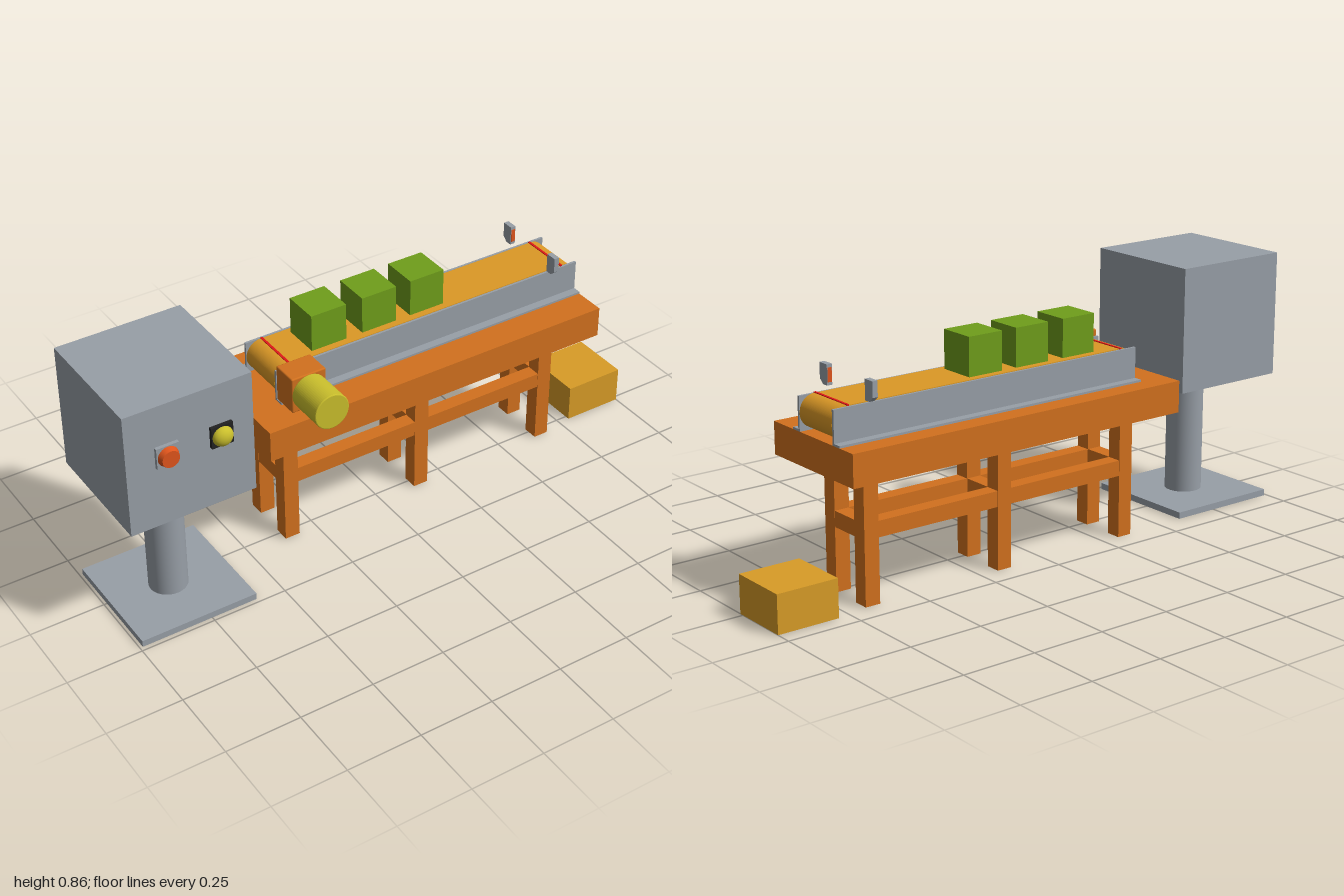
import * as THREE from 'three';
import { RoundedBoxGeometry } from 'three/addons/geometries/RoundedBoxGeometry.js';

const mat = (color) => new THREE.MeshStandardMaterial({ color });
const STEEL = mat(0x989fa7), ORANGE = mat(0xd2711e), BELT = mat(0xdc9926), GREEN = mat(0x6f9e1b),
  YELLOW = mat(0xcabf2c), GOLD = mat(0xd89c27), RED = mat(0xe01818), BLACK = mat(0x222222), BUTTON = mat(0xe0551c);

export function createModel() {
  const model = new THREE.Group();
  const group = (name) => {
    const g = new THREE.Group();
    g.name = name;
    model.add(g);
    return g;
  };
  const add = (parent, name, geometry, material, x = 0, y = 0, z = 0) => {
    const mesh = new THREE.Mesh(geometry, material);
    mesh.name = name;
    mesh.position.set(x, y, z);
    parent.add(mesh);
    return mesh;
  };
  // Box given by its extents on each axis
  const box = (parent, name, material, [x0, x1], [y0, y1], [z0, z1]) =>
    add(parent, name, new THREE.BoxGeometry(x1 - x0, y1 - y0, z1 - z0), material,
      (x0 + x1) / 2, (y0 + y1) / 2, (z0 + z1) / 2);

  // Control cabinet on a round post
  const cabinet = group('controlCabinet');
  box(cabinet, 'cabinetBox', STEEL, [-1, -0.583], [0.439, 0.857], [-0.175, 0.245]);
  add(cabinet, 'post', new THREE.CylinderGeometry(0.0625, 0.0625, 0.418, 48), STEEL, -0.793, 0.231, 0.036);
  box(cabinet, 'footPlate', STEEL, [-0.99, -0.593], [0, 0.022], [-0.165, 0.235]);

  // Push button and indicator lamp, each on a square plate
  box(cabinet, 'startPlate', STEEL, [-0.907, -0.833], [0.648, 0.72], [0.245, 0.257]);
  add(cabinet, 'startButton', new THREE.CylinderGeometry(0.028, 0.034, 0.018, 32), BUTTON, -0.87, 0.683, 0.266)
    .rotation.x = Math.PI / 2;
  box(cabinet, 'lampPlate', BLACK, [-0.729, -0.657], [0.648, 0.72], [0.245, 0.257]);
  const dome = add(cabinet, 'indicatorLamp',
    new THREE.SphereGeometry(0.033, 32, 12, 0, Math.PI * 2, 0, Math.PI / 2), YELLOW, -0.693, 0.683, 0.257);
  dome.rotation.x = Math.PI / 2;
  dome.scale.y = 0.75;

  // Work table with six legs, long rails and cross rails
  const table = group('table');
  box(table, 'tableTop', ORANGE, [-0.47, 0.786], [0.421, 0.526], [-0.28, 0.14]);
  const legX = [-0.34, 0.157, 0.655], legZ = [0.009, -0.148];
  for (const x of legX) {
    for (const z of legZ) box(table, 'leg', ORANGE, [x - 0.026, x + 0.026], [0, 0.421], [z - 0.026, z + 0.026]);
    box(table, 'crossRail', ORANGE, [x - 0.025, x + 0.025], [0.21, 0.262], [-0.122, -0.017]);
  }
  for (const z of legZ) {
    for (let i = 0; i < 2; i++) {
      box(table, 'longRail', ORANGE, [legX[i] + 0.026, legX[i + 1] - 0.026], [0.21, 0.262], [z - 0.025, z + 0.025]);
    }
  }

  // Belt loop with rounded ends
  const conveyor = group('conveyor');
  const r = 0.0525;
  const loop = new THREE.Shape();
  loop.absarc(0.733, 0, r, -Math.PI / 2, Math.PI / 2, false);
  loop.absarc(-0.313, 0, r, Math.PI / 2, Math.PI * 1.5, false);
  loop.closePath();
  const beltGeometry = new THREE.ExtrudeGeometry(loop, { depth: 0.17, bevelEnabled: false, curveSegments: 24 });
  add(conveyor, 'belt', beltGeometry, BELT, 0, 0.584, -0.174);
  box(conveyor, 'underStrip', STEEL, [-0.3, 0.72], [0.526, 0.533], [-0.113, -0.07]);
  for (const x of [-0.309, 0.729]) {
    box(conveyor, 'lightBeam', RED, [x - 0.004, x + 0.004], [0.634, 0.639], [-0.176, 0]);
  }

  // L-section side guides, mirrored about the belt centre
  const centreZ = -0.09;
  const guide = new THREE.Shape([[0.087, 0], [0.123, 0], [0.123, 0.007], [0.095, 0.007], [0.095, 0.109], [0.087, 0.109]]
    .map(([z, y]) => new THREE.Vector2(-z, y)));
  const guideGeometry = new THREE.ExtrudeGeometry(guide, { depth: 1.151, bevelEnabled: false });
  guideGeometry.rotateY(Math.PI / 2);
  add(conveyor, 'frontGuide', guideGeometry, STEEL, -0.365, 0.526, centreZ);
  add(conveyor, 'backGuide', guideGeometry, STEEL, 0.786, 0.526, centreZ).rotation.y = Math.PI;

  // Facing pair of sensors with a chamfered lower corner
  const sensorShape = new THREE.Shape([[0.1, 0.645], [0.122, 0.645], [0.139, 0.66], [0.139, 0.71], [0.1, 0.71]]
    .map(([z, y]) => new THREE.Vector2(-z, y)));
  const sensorGeometry = new THREE.ExtrudeGeometry(sensorShape, { depth: 0.018, bevelEnabled: false });
  sensorGeometry.rotateY(Math.PI / 2);
  sensorGeometry.translate(-0.009, 0, 0);
  for (const turn of [0, Math.PI]) {
    const sensor = group(turn ? 'backSensor' : 'frontSensor');
    sensor.position.set(0.669, 0, centreZ + (turn ? 0.002 : 0));
    sensor.rotation.y = turn;
    add(sensor, 'sensorBody', sensorGeometry, STEEL);
    box(sensor, 'sensorLens', BUTTON, [-0.007, 0.007], [0.655, 0.7], [0.098, 0.1]);
  }

  // Gearbox and drive motor
  const drive = group('drive');
  add(drive, 'gearbox', new RoundedBoxGeometry(0.122, 0.124, 0.092, 2, 0.005), ORANGE, -0.304, 0.595, 0.052);
  const motorProfile = [[0, 0], [0.06, 0], [0.06, 0.128], [0.058, 0.132], [0, 0.132]]
    .map(([x, y]) => new THREE.Vector2(x, y));
  const motorGeometry = new THREE.ExtrudeGeometry(new THREE.Shape().absarc(0, 0, 0.057, 0, Math.PI * 2),
    { depth: 0.126, bevelSize: 0.003, bevelThickness: 0.003, bevelSegments: 2, curveSegments: 32 });
  add(drive, 'motor', motorGeometry, YELLOW, -0.304, 0.595, 0.1);

  // Parcels on the belt and the receiving crate
  const parcels = group('parcels');
  for (const x of [-0.153, 0.032, 0.212]) {
    box(parcels, 'parcel', GREEN, [x - 0.063, x + 0.063], [0.637, 0.763], [-0.153, -0.027]);
  }
  box(model, 'crate', GOLD, [0.79, 1], [0, 0.126], [-0.194, 0.015]);
  return model;
}
